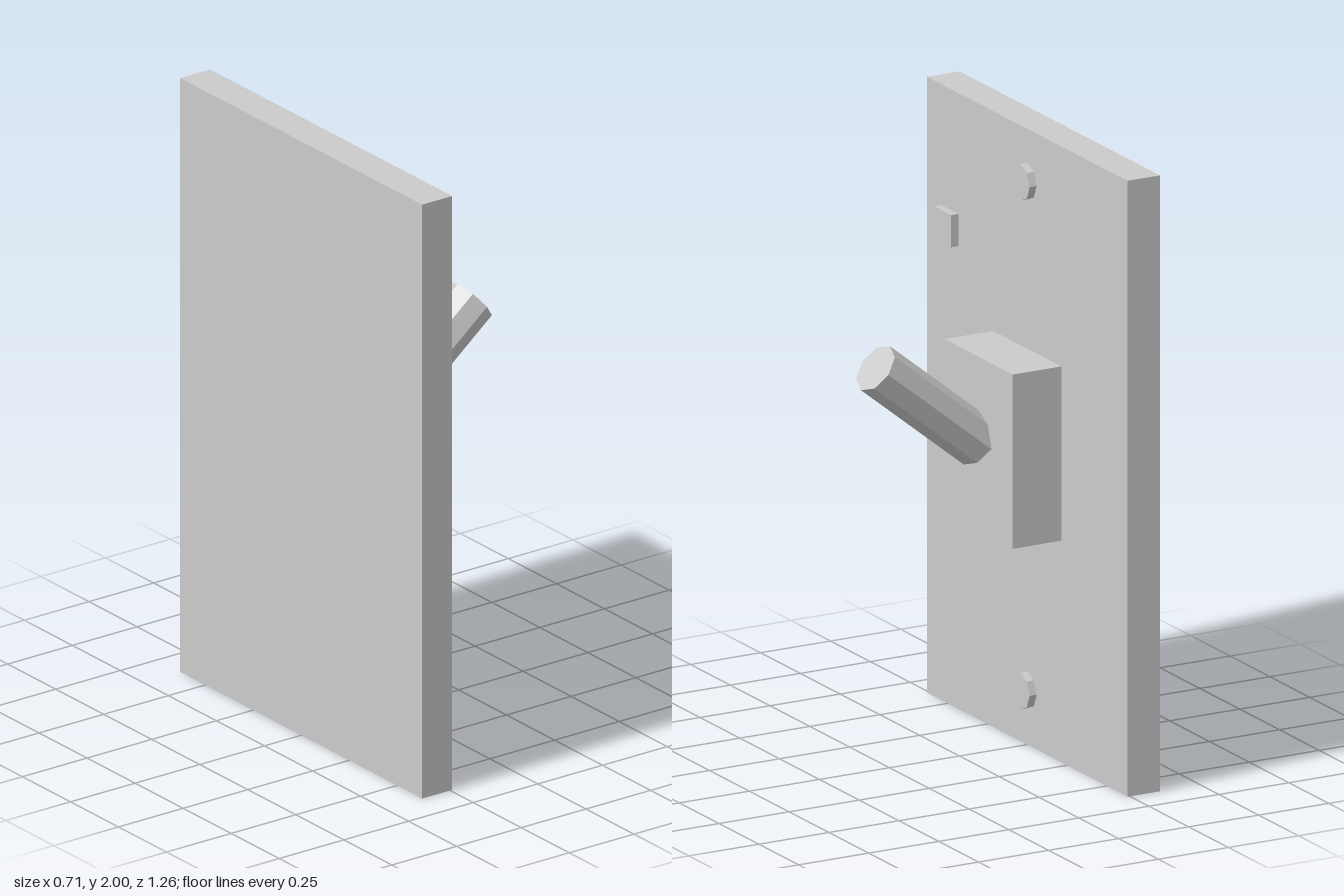
import * as THREE from 'three';

export function createModel() {
  const group = new THREE.Group();
  const material = new THREE.MeshStandardMaterial({ color: 0xcccccc, flatShading: true });

  const add = (name, geometry, x, y, z) => {
    const mesh = new THREE.Mesh(geometry, material);
    mesh.name = name;
    mesh.position.set(x, y, z);
    group.add(mesh);
    return mesh;
  };

  // Box given by its minimum and maximum corners
  const box = (name, [x0, y0, z0], [x1, y1, z1]) =>
    add(name, new THREE.BoxGeometry(x1 - x0, y1 - y0, z1 - z0),
      (x0 + x1) / 2, (y0 + y1) / 2, (z0 + z1) / 2);

  // Eight-sided rod from a start point, tilted up from +x by an angle
  const rod = (name, radius, length, x, y, angle) => {
    const geometry = new THREE.CylinderGeometry(radius, radius, length, 8);
    geometry.translate(0, length / 2, 0);
    add(name, geometry, x, y, 0).rotation.z = angle - Math.PI / 2;
  };

  // Wall plate, raised switch housing and the indicator held just off the plate
  box('wallPlate', [-0.358, 0, -0.63], [-0.242, 2, 0.63]);
  box('switchHousing', [-0.242, 0.72, -0.215], [-0.068, 1.286, 0.215]);
  box('indicator', [-0.206, 1.525, 0.37], [-0.18, 1.63, 0.477]);

  // Screw heads above and below the switch
  rod('upperScrew', 0.059, 0.025, -0.242, 1.83, 0);
  rod('lowerScrew', 0.059, 0.025, -0.242, 0.178, 0);

  // Toggle lever, thrown upward
  rod('toggleLever', 0.082, 0.472, -0.067, 1.008, THREE.MathUtils.degToRad(39));

  return group;
}
